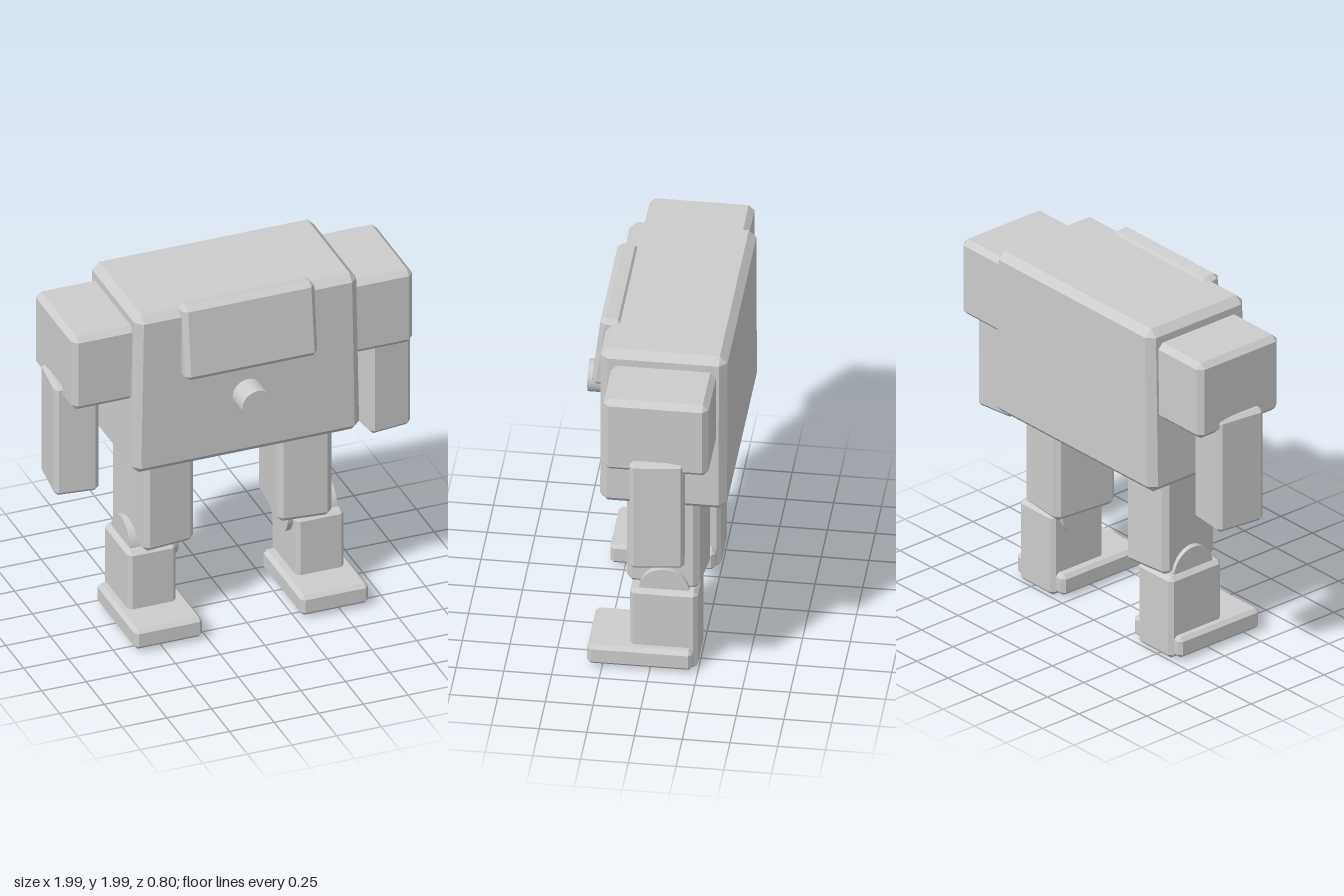
import * as THREE from 'three';
import { ConvexGeometry } from 'three/addons/geometries/ConvexGeometry.js';

// Box with flat chamfered edges; topScale narrows the width towards the top
function chamferBox(w, h, d, c, topScale = 1) {
  const points = [];
  for (const sx of [-1, 1]) for (const sy of [-1, 1]) for (const sz of [-1, 1]) {
    for (let full = 0; full < 3; full++) {
      const k = sy > 0 ? topScale : 1;
      points.push(new THREE.Vector3(
        sx * (w / 2 - (full === 0 ? 0 : c)) * k,
        sy * (h / 2 - (full === 1 ? 0 : c)),
        sz * (d / 2 - (full === 2 ? 0 : c))
      ));
    }
  }
  return new ConvexGeometry(points);
}

export function createModel() {
  const model = new THREE.Group();
  model.name = 'robot';
  const grey = new THREE.MeshStandardMaterial({ color: 0xcccccc });
  grey.name = 'light grey';

  const add = (parent, name, geometry, x, y, z) => {
    const mesh = new THREE.Mesh(geometry, grey);
    mesh.name = name;
    mesh.position.set(x, y, z);
    parent.add(mesh);
    return mesh;
  };

  // Torso, tilted head panel and chest button
  add(model, 'torso', chamferBox(1.275, 0.945, 0.665, 0.04, 0.975), 0, 1.4975, -0.0675);
  const panel = add(model, 'headPanel', chamferBox(0.74, 0.42, 0.115, 0.025), -0.003, 1.78, 0.262);
  panel.rotation.x = -0.12;
  const button = add(model, 'chestButton', new THREE.CylinderGeometry(0.087, 0.087, 0.26, 32), 0, 1.39, 0.27);
  button.rotation.x = Math.PI / 2;

  // Limbs, repeated on both sides
  for (const [side, label] of [[1, 'left'], [-1, 'right']]) {
    const arm = new THREE.Group();
    arm.name = label + 'Arm';
    add(arm, 'shoulder', chamferBox(0.39, 0.44, 0.55, 0.03), side * 0.76, 1.67, -0.07);
    const forearm = add(arm, 'forearm', chamferBox(0.24, 0.66, 0.287, 0.022), side * 0.863, 1.2, -0.068);
    forearm.rotation.y = side * 0.12;

    const leg = new THREE.Group();
    leg.name = label + 'Leg';
    const thigh = add(leg, 'thigh', chamferBox(0.298, 0.68, 0.387, 0.03), side * 0.398, 0.805, -0.068);
    thigh.rotation.y = side * -0.1;
    const knee = add(leg, 'kneeJoint', new THREE.CylinderGeometry(0.132, 0.132, 0.275, 32), side * 0.442, 0.462, -0.067);
    knee.rotation.z = Math.PI / 2;
    add(leg, 'shin', chamferBox(0.272, 0.473, 0.355, 0.022), side * 0.47, 0.2365, -0.067);
    add(leg, 'foot', chamferBox(0.38, 0.117, 0.55, 0.02), side * 0.465, 0.073, 0.053);

    model.add(arm, leg);
  }
  return model;
}
